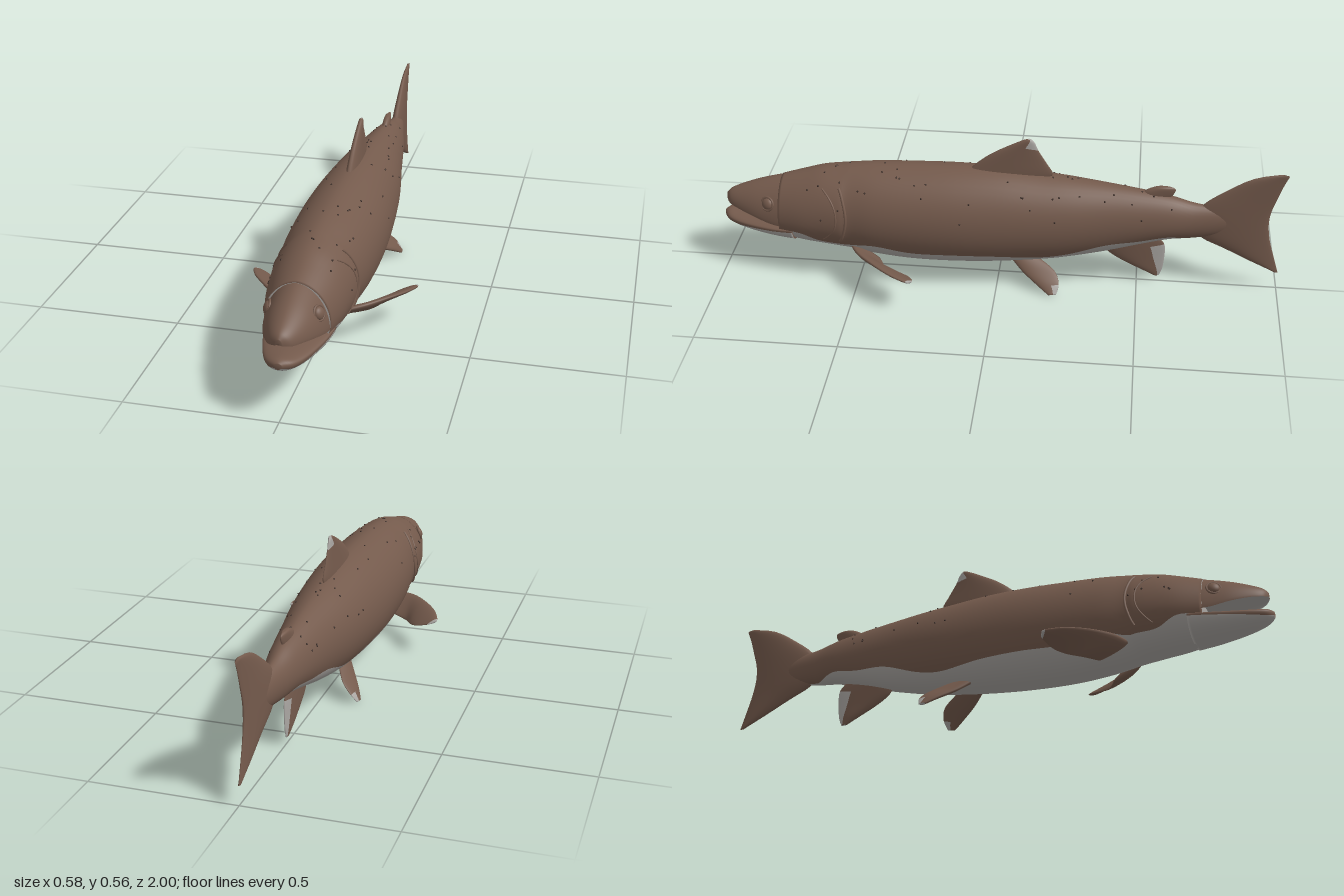
import * as THREE from 'three';

const paint = (name, color) => Object.assign(new THREE.MeshStandardMaterial({ color }), { name });
const brown = paint('brown skin', 0x745a4c);
const pale = paint('pale belly', 0xaaa6a2);
const dark = paint('dark spots', 0x3a2c26);

// Catmull-Rom value of a table of rows at t in 0..1
function sample(rows, t) {
  const f = Math.min(t, 0.99999) * (rows.length - 1), i = Math.floor(f), k = f - i;
  const at = (n) => rows[Math.max(0, Math.min(rows.length - 1, n))];
  return rows[0].map((_, c) => {
    const a = at(i - 1)[c], b = at(i)[c], d = at(i + 1)[c], e = at(i + 2)[c];
    return b + 0.5 * k * (d - a + k * (2 * a - 5 * b + 4 * d - e + k * (3 * (b - d) + e - a)));
  });
}

// Closed skin over rings of points; isPale(i, j) picks the colour of each quad
function skin(name, rings, isPale, capPale = [false, false]) {
  const n = rings[0].length, pts = rings.flat(), lists = [[], []];
  for (let i = 0; i < rings.length - 1; i++) {
    for (let j = 0; j < n; j++) {
      const a = i * n + j, b = i * n + (j + 1) % n;
      lists[isPale(i, j) ? 1 : 0].push(a, b, a + n, b, b + n, a + n);
    }
  }
  [0, rings.length - 1].forEach((r, end) => {
    const mid = rings[r].reduce((s, p) => s.add(p), new THREE.Vector3()).divideScalar(n);
    const m = pts.push(mid) - 1;
    for (let j = 0; j < n; j++) {
      const a = r * n + j, b = r * n + (j + 1) % n;
      lists[capPale[end] ? 1 : 0].push(...(end ? [a, b, m] : [b, a, m]));
    }
  });
  // turn every face outward
  const index = lists.flat();
  let volume = 0;
  for (let i = 0; i < index.length; i += 3) {
    const [a, b, c] = [0, 1, 2].map((k) => pts[index[i + k]]);
    volume += a.dot(b.clone().cross(c));
  }
  if (volume < 0) {
    for (let i = 0; i < index.length; i += 3) [index[i], index[i + 1]] = [index[i + 1], index[i]];
  }
  const geo = new THREE.BufferGeometry().setFromPoints(pts);
  geo.setIndex(index);
  geo.addGroup(0, lists[0].length, 0);
  geo.addGroup(lists[0].length, lists[1].length, 1);
  geo.computeVertexNormals();
  const mesh = new THREE.Mesh(geo, [brown, pale]);
  mesh.name = name;
  return mesh;
}

// Point on an egg-shaped section; row = [z, top, bottom, halfWidth, middleY, colourLineY]
function sectionPoint([z, top, bottom, w, mid], a) {
  const c = Math.cos(a), s = Math.sin(a);
  const x = w * Math.sign(c) * Math.abs(c) ** (s > 0 ? 1.12 : 0.95);
  return new THREE.Vector3(x, mid + s * (s > 0 ? top - mid : mid - bottom), z);
}

// Body or jaw, with the colour split running along the flank
function trunk(name, rows, steps, capPale) {
  const UP = 30, DOWN = 18, rings = [];
  for (let i = 0; i <= steps; i++) {
    const r = sample(rows, i / steps), ring = [];
    const ratio = (r[5] - r[4]) / (r[4] - r[2]);
    const a0 = Math.asin(Math.max(-0.98, Math.min(0, ratio)));
    for (let j = 0; j < UP; j++) ring.push(sectionPoint(r, a0 + (Math.PI - 2 * a0) * j / UP));
    for (let j = 0; j < DOWN; j++) ring.push(sectionPoint(r, Math.PI - a0 + (Math.PI + 2 * a0) * j / DOWN));
    rings.push(ring);
  }
  return skin(name, rings, (i, j) => j >= UP, capPale);
}

// Lens-shaped fin; rows = [lead x, y, z, trail x, y, z, half thickness], root to tip
function fin(name, rows, side = 1, paleFrom = 2, paleChord = 0) {
  const STEPS = 24, N = 24, rings = [];
  const cut = (t) => {
    const r = sample(rows, Math.max(0, Math.min(1, t)));
    return [new THREE.Vector3(r[0] * side, r[1], r[2]), new THREE.Vector3(r[3] * side, r[4], r[5]), r[6]];
  };
  const middle = ([a, b]) => a.clone().add(b);
  for (let i = 0; i <= STEPS; i++) {
    const [lead, trail, thick] = cut(i / STEPS);
    const span = middle(cut((i + 1) / STEPS)).sub(middle(cut((i - 1) / STEPS)));
    const normal = trail.clone().sub(lead).cross(span).normalize();
    rings.push(Array.from({ length: N }, (_, j) => {
      const a = j / N * Math.PI * 2, u = (1 - Math.cos(a)) / 2;
      return lead.clone().lerp(trail, u).addScaledVector(normal, thick * Math.sin(a) * (1.15 - 0.6 * u));
    }));
  }
  const isPale = (i, j) => i / STEPS >= paleFrom && (1 - Math.cos((j + 0.5) / N * Math.PI * 2)) / 2 > paleChord;
  return skin(name, rings, isPale, [false, paleFrom < 1]);
}

// Fin lying in the middle plane, from rows of [lead y, z, trail y, z, half thickness]
const flat = (rows) => rows.map(([ly, lz, ty, tz, t]) => [0, ly, lz, 0, ty, tz, t]);

const BODY = [
  [0.78, 0.366, 0.138, 0.106, 0.235, 0.2], [0.7, 0.39, 0.125, 0.125, 0.24, 0.2],
  [0.63, 0.41, 0.117, 0.135, 0.245, 0.168], [0.56, 0.42, 0.108, 0.141, 0.25, 0.16],
  [0.52, 0.426, 0.1, 0.138, 0.25, 0.158], [0.43, 0.434, 0.084, 0.149, 0.25, 0.172],
  [0.3, 0.439, 0.072, 0.155, 0.25, 0.15], [0.15, 0.443, 0.072, 0.155, 0.25, 0.152],
  [0, 0.44, 0.08, 0.146, 0.25, 0.15], [-0.15, 0.427, 0.095, 0.132, 0.255, 0.14],
  [-0.25, 0.418, 0.11, 0.118, 0.26, 0.155], [-0.38, 0.402, 0.138, 0.095, 0.265, 0.198],
  [-0.5, 0.385, 0.172, 0.076, 0.27, 0.21], [-0.6, 0.367, 0.198, 0.06, 0.272, 0.225],
  [-0.68, 0.345, 0.205, 0.043, 0.273, 0.205], [-0.77, 0.33, 0.22, 0.025, 0.274, 0.2],
  [-0.86, 0.3, 0.25, 0.008, 0.275, 0.2],
];

export function createModel() {
  const fish = new THREE.Group();
  fish.name = 'fish';
  const add = (...m) => fish.add(...m);

  add(trunk('body', BODY, 96, [true, false]));
  // open mouth: arched upper jaw and shallow lower jaw
  add(trunk('upperJaw', [
    [0.73, 0.376, 0.25, 0.112, 0.215, 0.215], [0.8, 0.36, 0.25, 0.101, 0.218, 0.218],
    [0.87, 0.34, 0.262, 0.084, 0.236, 0.236], [0.93, 0.318, 0.266, 0.06, 0.25, 0.25],
    [0.97, 0.3, 0.264, 0.036, 0.257, 0.257], [0.987, 0.283, 0.266, 0.01, 0.264, 0.264]], 28));
  add(trunk('lowerJaw', [
    [0.73, 0.215, 0.13, 0.112, 0.2, 0.194], [0.8, 0.214, 0.138, 0.102, 0.196, 0.19],
    [0.88, 0.214, 0.15, 0.082, 0.195, 0.187], [0.94, 0.216, 0.163, 0.062, 0.196, 0.185],
    [0.98, 0.218, 0.176, 0.04, 0.199, 0.187], [1, 0.21, 0.19, 0.012, 0.2, 0.195]], 28));

  // middle fins
  add(fin('dorsalFin', flat([
    [0.4, 0.13, 0.4, -0.16, 0.024], [0.45, 0.09, 0.432, -0.188, 0.02], [0.5, 0.03, 0.475, -0.165, 0.016],
    [0.54, -0.04, 0.52, -0.138, 0.012], [0.562, -0.085, 0.55, -0.125, 0.009],
    [0.567, -0.1, 0.564, -0.115, 0.005]]), 1, 0.6, 0.55));
  add(fin('adiposeFin', flat([
    [0.365, -0.49, 0.35, -0.59, 0.016], [0.388, -0.515, 0.378, -0.612, 0.015],
    [0.402, -0.545, 0.397, -0.616, 0.012], [0.406, -0.57, 0.405, -0.6, 0.005]])));
  add(fin('analFin', flat([
    [0.17, -0.37, 0.2, -0.56, 0.016], [0.125, -0.39, 0.165, -0.592, 0.014], [0.09, -0.44, 0.11, -0.595, 0.012],
    [0.055, -0.51, 0.06, -0.59, 0.01], [0.03, -0.56, 0.03, -0.58, 0.005]]), 1, 0.25, 0.75));
  add(fin('tailFin', flat([
    [0.075, -0.985, 0.072, -1, 0.005], [0.115, -0.9, 0.12, -0.985, 0.01], [0.165, -0.8, 0.19, -0.963, 0.015],
    [0.21, -0.71, 0.24, -0.952, 0.02], [0.27, -0.68, 0.28, -0.948, 0.022], [0.335, -0.71, 0.325, -0.952, 0.02],
    [0.4, -0.79, 0.37, -0.965, 0.015], [0.455, -0.88, 0.43, -0.983, 0.01], [0.477, -0.97, 0.472, -1, 0.005]])));

  // paired parts
  const gillRows = (k, shift) => sample(BODY, (3.1 + shift + 0.75 * Math.sin(Math.PI * k)) / 16);
  for (const side of [1, -1]) {
    const label = side > 0 ? 'left' : 'right';
    add(fin(label + 'PectoralFin', [
      [0.09, 0.145, 0.525, 0.09, 0.09, 0.42, 0.014], [0.15, 0.152, 0.49, 0.145, 0.085, 0.385, 0.013],
      [0.21, 0.153, 0.43, 0.175, 0.092, 0.335, 0.011], [0.26, 0.148, 0.365, 0.205, 0.103, 0.3, 0.009],
      [0.285, 0.14, 0.31, 0.245, 0.118, 0.28, 0.007], [0.288, 0.136, 0.288, 0.268, 0.126, 0.277, 0.004]],
      side, 0.84));
    add(fin(label + 'PelvicFin', [
      [0.045, 0.11, -0.04, 0.04, 0.11, -0.14, 0.014], [0.08, 0.068, -0.09, 0.075, 0.075, -0.205, 0.012],
      [0.113, 0.035, -0.145, 0.108, 0.042, -0.225, 0.01], [0.136, 0.008, -0.19, 0.132, 0.01, -0.218, 0.005]],
      side, 0.7, 0.6));

    // eye with a raised lid
    const eye = new THREE.Group();
    eye.name = label + 'Eye';
    const ball = new THREE.Mesh(new THREE.SphereGeometry(0.021, 24, 16), brown);
    ball.name = 'eyeball';
    ball.scale.set(1, 1, 0.6);
    const lid = new THREE.Mesh(new THREE.TorusGeometry(0.024, 0.004, 8, 28), brown);
    lid.name = 'eyelid';
    eye.add(ball, lid);
    eye.position.set(side * 0.081, 0.293, 0.82);
    eye.lookAt(side * 0.9, 0.6, 1.15);
    add(eye);

    // gill cover ridges following the flank
    [0, -0.9].forEach((shift, n) => {
      const path = Array.from({ length: 14 }, (_, i) => {
        const p = sectionPoint(gillRows(i / 13, shift), 0.85 - 1.35 * i / 13);
        p.x *= side;
        return p;
      });
      const ridge = new THREE.Mesh(
        new THREE.TubeGeometry(new THREE.CatmullRomCurve3(path), 40, n ? 0.003 : 0.005, 8), brown);
      ridge.name = label + (n ? 'CheekRidge' : 'GillCoverEdge');
      add(ridge);
    });
  }

  // small scattered spots on the back and flanks
  let seed = 7;
  const rand = () => (seed = (seed * 16807) % 2147483647) / 2147483647;
  const dot = new THREE.SphereGeometry(0.0035, 8, 6);
  for (let i = 0; i < 70; i++) {
    const spot = new THREE.Mesh(dot, dark);
    spot.name = 'spot';
    spot.position.copy(sectionPoint(sample(BODY, 0.08 + 0.74 * rand()), 0.15 + 2.84 * rand()));
    add(spot);
  }
  return fish;
}
